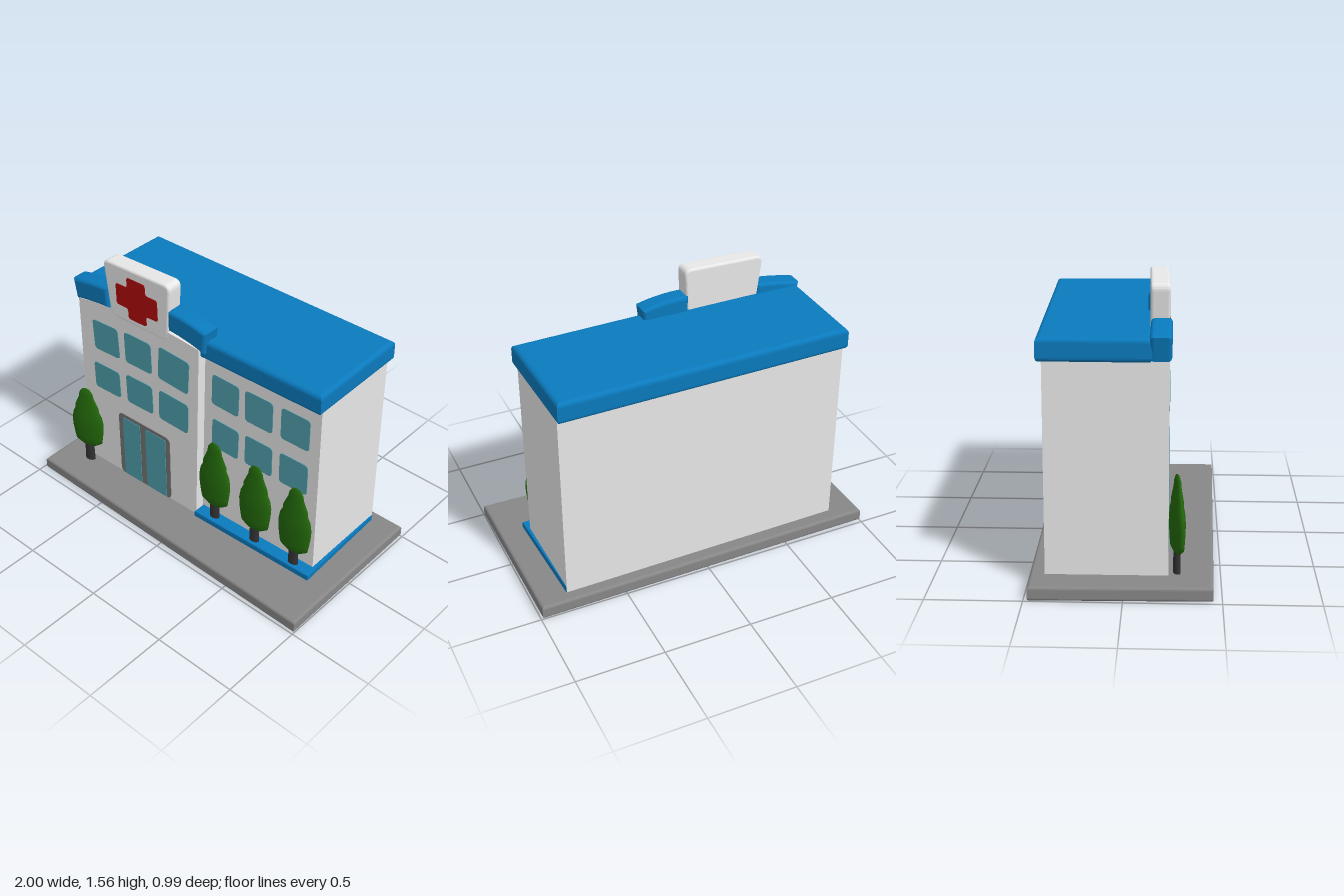
import * as THREE from 'three';

const mat = (name, color) => {
  const m = new THREE.MeshStandardMaterial({ color });
  m.name = name;
  return m;
};

export function createModel() {
  const model = new THREE.Group();
  model.name = 'clinicBuilding';
  const white = mat('wallWhite', 0xf2f2f2);
  const blue = mat('trimBlue', 0x0a7abd);
  const grey = mat('pavingGrey', 0x878787);
  const frameGrey = mat('frameGrey', 0x747474);
  const glass = mat('glassTeal', 0x509fad);
  const red = mat('crossRed', 0xae0a0a);
  const green = mat('leafGreen', 0x22670a);
  const dark = mat('trunkDark', 0x323234);

  const add = (name, geometry, material, parent = model) => {
    const mesh = new THREE.Mesh(geometry, material);
    mesh.name = name;
    parent.add(mesh);
    return mesh;
  };

  // Extrusion whose bevel stays inside the outline and the given depth
  const extrude = (shape, depth, bevel = 0) => {
    const g = new THREE.ExtrudeGeometry(shape, {
      depth: depth - 2 * bevel, bevelEnabled: bevel > 0, bevelSize: bevel, bevelThickness: bevel,
      bevelOffset: -bevel, bevelSegments: 4, curveSegments: 8,
    });
    return g.translate(0, 0, bevel);
  };

  // Upright prism from a footprint of [x, z] corners
  const prism = (name, corners, y0, y1, material, bevel = 0) => {
    const shape = new THREE.Shape(corners.map(([x, z]) => new THREE.Vector2(x, -z)));
    return add(name, extrude(shape, y1 - y0, bevel).rotateX(-Math.PI / 2).translate(0, y0, 0), material);
  };

  // Polygon with rounded corners
  const rounded = (corners, r) => {
    const pts = corners.map(([x, y]) => new THREE.Vector2(x, y));
    const shape = new THREE.Shape();
    pts.forEach((p, i) => {
      const toward = (q) => p.clone().add(q.clone().sub(p).setLength(r));
      const a = toward(pts[(i + pts.length - 1) % pts.length]);
      const b = toward(pts[(i + 1) % pts.length]);
      if (i === 0) shape.moveTo(a.x, a.y);
      else shape.lineTo(a.x, a.y);
      shape.quadraticCurveTo(p.x, p.y, b.x, b.y);
    });
    shape.closePath();
    return shape;
  };

  // Thin rounded rectangle facing +z
  const plate = (w, h, r, depth) => extrude(
    rounded([[-w / 2, -h / 2], [w / 2, -h / 2], [w / 2, h / 2], [-w / 2, h / 2]], r), depth);

  // Ground slab, main block, roof and plinth
  prism('groundSlab', [[-1, -0.48], [0.99, -0.5], [1, 0.49], [-0.98, 0.455]], 0, 0.075, grey, 0.015);
  prism('mainWalls', [[-0.828, -0.405], [0.825, -0.433], [0.835, 0.128], [0.05, 0.152], [-0.825, 0.152]],
    0.07, 1.22, white);
  prism('roof', [[-0.84, -0.435], [0.835, -0.475], [0.85, 0.165], [0.04, 0.192], [0.04, 0.14], [-0.84, 0.14]],
    1.19, 1.315, blue, 0.025);
  prism('plinth', [[0.045, 0.1], [0.81, 0.1], [0.81, -0.43], [0.828, -0.43], [0.857, 0.2], [0.045, 0.228]],
    0.07, 0.112, blue, 0.006);

  // Projecting entrance front with an arched top, turned slightly
  const entrance = new THREE.Group();
  entrance.name = 'entranceFront';
  entrance.position.set(-0.38, 0, 0.217);
  entrance.rotation.y = 0.022;
  model.add(entrance);
  const face = new THREE.Shape();
  face.moveTo(-0.445, 0.07).lineTo(0.42, 0.07).lineTo(0.45, 1.25);
  face.quadraticCurveTo(0, 1.3, -0.445, 1.2).lineTo(-0.445, 0.07);
  add('entranceWall', extrude(face, 0.12), white, entrance).position.z = -0.12;

  // Front of the right-hand wing, following its slight turn
  const wing = new THREE.Group();
  wing.name = 'wingFront';
  wing.position.set(0.44, 0, 0.14);
  wing.rotation.y = 0.031;
  model.add(wing);

  // Windows: [x, y, width, height, tilt] in model coordinates
  const windows = (parent, list) => list.forEach(([x, y, w, h, tilt = 0]) => {
    const m = add('window', plate(w, h, 0.025, 0.004), glass, parent);
    m.position.set(x - parent.position.x, y, 0);
    m.rotation.z = tilt;
  });
  windows(entrance, [
    [-0.622, 1.01, 0.195, 0.195, 0.05], [-0.376, 1.025, 0.2, 0.2, 0.02], [-0.112, 1.032, 0.22, 0.215, -0.06],
    [-0.63, 0.722, 0.2, 0.175, 0.02], [-0.376, 0.74, 0.2, 0.19, 0.02], [-0.118, 0.745, 0.215, 0.2, -0.03],
  ]);
  windows(wing, [
    [0.208, 0.99, 0.185, 0.2, -0.03], [0.436, 0.993, 0.185, 0.2], [0.676, 1, 0.185, 0.2],
    [0.208, 0.692, 0.185, 0.195, -0.03], [0.44, 0.696, 0.185, 0.195], [0.676, 0.7, 0.185, 0.2],
  ]);

  // Double glass door in a grey frame
  add('doorFrame', plate(0.4, 0.45, 0.035, 0.004), frameGrey, entrance).position.set(0.025, 0.3, 0);
  for (const [x, w] of [[-0.073, 0.135], [0.115, 0.155]]) {
    add('doorPanel', plate(w, 0.425, 0.008, 0.004), glass, entrance).position.set(x, 0.29, 0.003);
  }

  // Blue parapets: [x, y] at outer ends and control points, along the bottom then back along the top
  const parapet = ([b0, b1, b2, t2, t1, t0], z) => {
    const s = new THREE.Shape();
    s.moveTo(...b0).quadraticCurveTo(...b1, ...b2);
    s.lineTo(...t2).quadraticCurveTo(...t1, ...t0).lineTo(...b0);
    add('parapet', extrude(s, 0.11, 0.02), blue).position.z = z;
  };
  parapet([[-0.832, 1.198], [-0.7, 1.232], [-0.575, 1.24],
    [-0.585, 1.366], [-0.72, 1.356], [-0.855, 1.322]], 0.128);
  parapet([[-0.15, 1.275], [-0.02, 1.272], [0.108, 1.238],
    [0.122, 1.372], [-0.014, 1.408], [-0.15, 1.402]], 0.103);

  // Sign block, wider at the top, with a red cross
  const sign = new THREE.Group();
  sign.name = 'sign';
  sign.position.set(-0.37, 1.38, 0.17);
  sign.rotation.y = 0.03;
  model.add(sign);
  const panel = rounded([[-0.2, -0.18], [0.22, -0.18], [0.24, 0.178], [-0.243, 0.162]], 0.045);
  add('signBlock', extrude(panel, 0.1, 0.014), white, sign).position.z = -0.05;
  const a = 0.066, b = 0.15, c = 0.13;
  const cross = rounded([[-a, -c], [a, -c], [a, -a], [b, -a], [b, a], [a, a],
    [a, c], [-a, c], [-a, a], [-b, a], [-b, -a], [-a, -a]], 0.018);
  const signCross = add('signCross', extrude(cross, 0.004), red, sign);
  signCross.position.set(0.002, -0.014, 0.049);
  signCross.rotation.z = 0.02;

  // Flattened trees with a leafy, stepped outline
  const outline = [[0, 0], [0.05, 0.005], [0.088, 0.035], [0.094, 0.07], [0.102, 0.13], [0.105, 0.19], [0.096, 0.245],
    [0.08, 0.28], [0.078, 0.31], [0.06, 0.355], [0.05, 0.38], [0.044, 0.415], [0.026, 0.445], [0, 0.455]]
    .map(([x, y]) => new THREE.Vector2(x, y));
  const crownGeometry = new THREE.LatheGeometry(outline, 24);
  const trunkGeometry = new THREE.CylinderGeometry(0.028, 0.032, 0.16, 10);
  const trees = [[-0.78, 0.27, 0.07, 0.185, 0.93, 0.28], [0.16, 0.182, 0.1, 0.2, 1, 0.1],
    [0.455, 0.177, 0.1, 0.2, 1, 0.1], [0.73, 0.17, 0.1, 0.2, 1, 0.1]];
  for (const [x, z, foot, crownY, size, yaw] of trees) {
    const tree = new THREE.Group();
    tree.name = 'tree';
    tree.position.set(x, 0, z);
    tree.rotation.y = yaw;
    model.add(tree);
    const crown = add('treeCrown', crownGeometry, green, tree);
    crown.position.y = crownY;
    crown.scale.set(1, size, 0.32);
    const trunk = add('treeTrunk', trunkGeometry, dark, tree);
    trunk.position.y = foot + 0.08;
    trunk.scale.z = 0.6;
  }
  return model;
}
